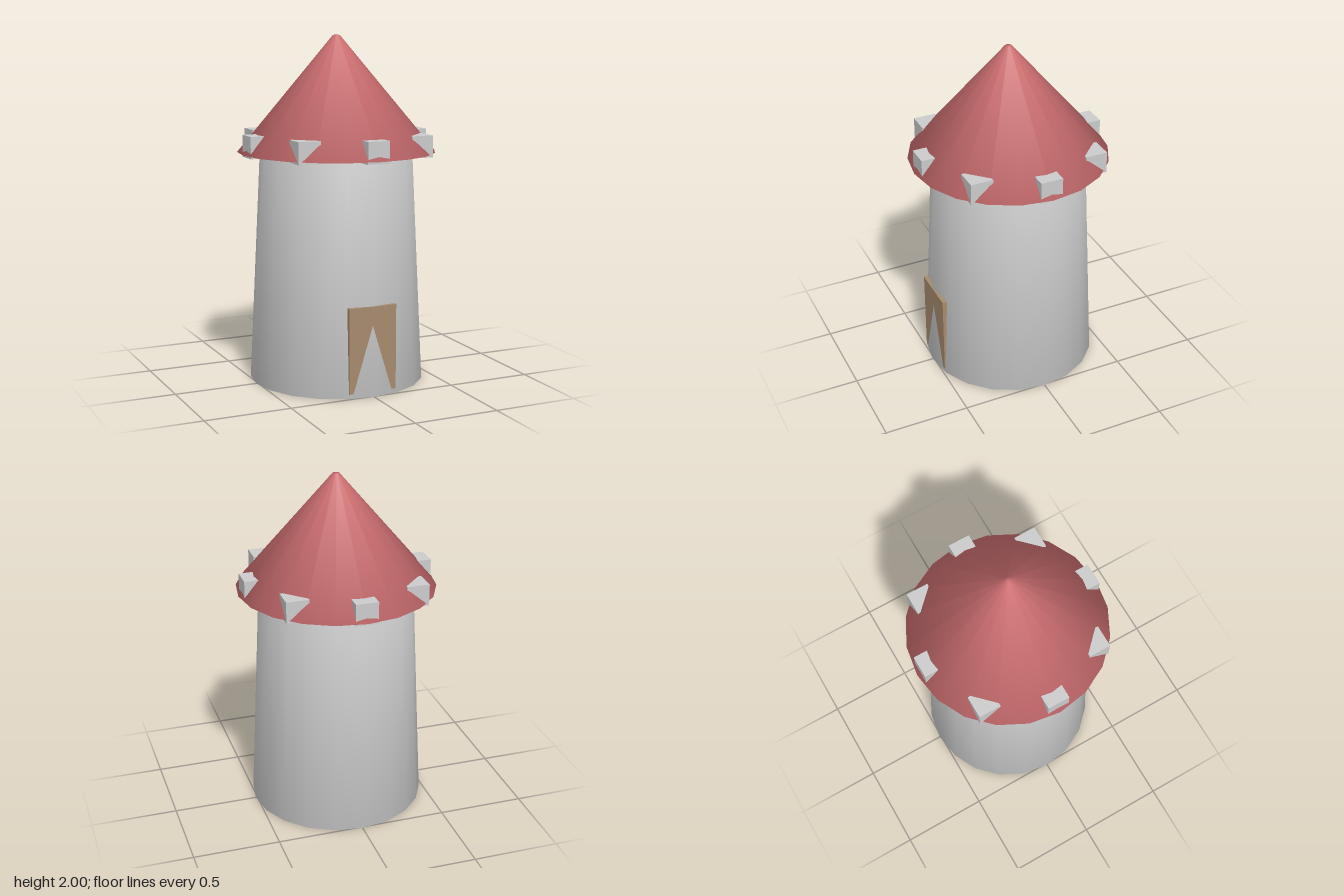
import * as THREE from 'three';
import { mergeVertices } from 'three/addons/utils/BufferGeometryUtils.js';

const SIDES = 20;

// Tapered round body whose shading runs smoothly over its rims
function taperedBody(topRadius, bottomRadius, yBottom, yTop) {
  let geometry = new THREE.CylinderGeometry(topRadius, bottomRadius, yTop - yBottom, SIDES);
  geometry.translate(0, (yTop + yBottom) / 2, 0);
  geometry.deleteAttribute('normal');
  geometry.deleteAttribute('uv');
  geometry = mergeVertices(geometry);
  geometry.computeVertexNormals();
  return geometry;
}

export function createModel() {
  const model = new THREE.Group();
  model.name = 'tower';

  const stone = new THREE.MeshStandardMaterial({ color: 0xcccccc });
  const tiles = new THREE.MeshStandardMaterial({ color: 0xcc6e70 });
  const wood = new THREE.MeshStandardMaterial({ color: 0xa68b6d });

  function add(name, geometry, material, parent = model) {
    const mesh = new THREE.Mesh(geometry, material);
    mesh.name = name;
    parent.add(mesh);
    return mesh;
  }

  // Slightly tapering tower wall
  add('wall', taperedBody(0.444, 0.51, 0, 1.34), stone);

  // Conical roof with a tiny flat tip
  add('roof', taperedBody(0.02, 0.575, 1.335, 2), tiles);

  // Door slab, partly sunk into the sloping wall
  add('door', new THREE.BoxGeometry(0.29, 0.49, 0.05), wood).position.set(0, 0.27, 0.465);

  // Eight square blocks around the eaves, all aligned with the axes
  const battlements = new THREE.Group();
  battlements.name = 'battlements';
  model.add(battlements);
  const blockGeometry = new THREE.BoxGeometry(0.13, 0.125, 0.13);
  for (let i = 0; i < 8; i++) {
    const angle = (i * Math.PI) / 4;
    const block = add('battlement', blockGeometry, stone, battlements);
    block.position.set(0.489 * Math.sin(angle), 1.383, 0.489 * Math.cos(angle));
  }

  return model;
}
